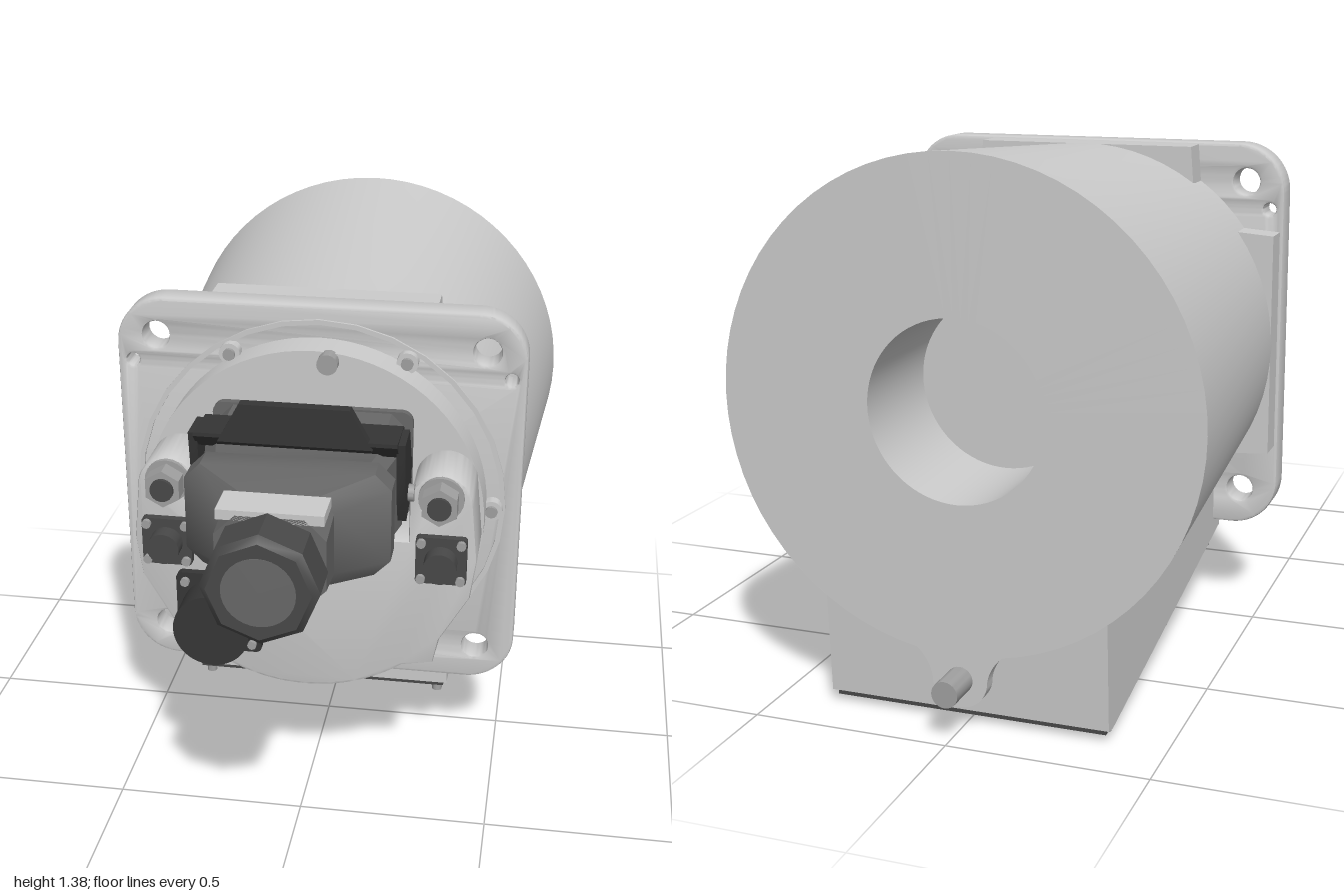
import * as THREE from 'three';
import { toCreasedNormals } from 'three/addons/utils/BufferGeometryUtils.js';

const CY = 0.77; // height of the main axis
const mat = (color) => new THREE.MeshStandardMaterial({ color });
const grey = mat(0xcccccc), steel = mat(0xa0a0a0), mid = mat(0x686868), dark = mat(0x484848), black = mat(0x363636);

export function createModel() {
  const model = new THREE.Group();

  const add = (name, geo, material = grey) => {
    const mesh = new THREE.Mesh(toCreasedNormals(geo, 0.6), material);
    mesh.name = name;
    model.add(mesh);
    return mesh;
  };
  // Cylinder or prism along z
  const rod = (name, x, y, z0, z1, r, material, sides = 24, r1 = r) =>
    add(name, new THREE.CylinderGeometry(r1, r, z1 - z0, sides).rotateX(Math.PI / 2).translate(x, y, (z0 + z1) / 2), material);
  const box = (name, x, y, z, w, h, d, material) =>
    add(name, new THREE.BoxGeometry(w, h, d).translate(x, y, z), material);
  // Flat shape extruded from z0 to z1
  const slab = (name, shape, z0, z1, material, bevel = 0) =>
    add(name, new THREE.ExtrudeGeometry(shape, {
      depth: z1 - z0 - 2 * bevel, curveSegments: 16, bevelEnabled: bevel > 0,
      bevelSize: bevel, bevelOffset: -bevel, bevelThickness: bevel, bevelSegments: 2,
    }).translate(0, 0, z0 + bevel), material);
  // Profile of [z, y] points extruded along x around a centre
  const side = (name, pts, x, width, material) =>
    add(name, new THREE.ExtrudeGeometry(new THREE.Shape(pts.map((p) => new THREE.Vector2(...p))), { depth: width, bevelEnabled: false })
      .translate(0, 0, -width / 2).rotateY(-Math.PI / 2).translate(x, 0, 0), material);
  const roundRect = (cx, cy, hw, hh, r) => {
    const s = new THREE.Shape();
    s.absarc(cx + hw - r, cy + hh - r, r, 0, Math.PI / 2);
    s.absarc(cx - hw + r, cy + hh - r, r, Math.PI / 2, Math.PI);
    s.absarc(cx - hw + r, cy - hh + r, r, Math.PI, Math.PI * 1.5);
    s.absarc(cx + hw - r, cy - hh + r, r, Math.PI * 1.5, Math.PI * 2);
    return s;
  };
  const hole = (shape, x, y, r) => shape.holes.push(new THREE.Path().absarc(x, y, r, 0, Math.PI * 2, true));
  // Loft through chamfered rectangles: [z, halfWidth, bottom, top, chamfer]
  const loft = (name, sections, material) => {
    const rings = sections.map(([z, w, b, t, c]) => [
      [-w + c, b], [w - c, b], [w, b + c], [w, t - c], [w - c, t], [-w + c, t], [-w, t - c], [-w, b + c],
    ].map(([x, y]) => [x, y, z]));
    const v = [], last = rings[rings.length - 1];
    for (let s = 0; s < rings.length - 1; s++) for (let i = 0; i < 8; i++) {
      const j = (i + 1) % 8, [p, q] = [rings[s], rings[s + 1]];
      v.push(...p[i], ...p[j], ...q[j], ...p[i], ...q[j], ...q[i]);
    }
    for (let i = 1; i < 7; i++) v.push(...last[0], ...last[i], ...last[i + 1], ...rings[0][0], ...rings[0][i + 1], ...rings[0][i]);
    const geo = new THREE.BufferGeometry();
    geo.setAttribute('position', new THREE.Float32BufferAttribute(v, 3));
    geo.computeVertexNormals();
    return add(name, geo, material);
  };

  // Tapered main housing with a bore in its back
  const profile = [[0, -0.6], [0.22, -0.6], [0.22, -0.91], [0.595, -0.91], [0.53, 0.02], [0.53, 0.1], [0, 0.1]];
  add('mainHousing', new THREE.LatheGeometry(profile.map((p) => new THREE.Vector2(...p)), 72)
    .rotateX(Math.PI / 2).translate(0, CY, 0));

  // Square mounting flange, with stiffening behind it that leaves the corners free
  const flange = roundRect(0, CY, 0.54, 0.535, 0.13);
  for (const sx of [-1, 1]) {
    for (const sy of [-1, 1]) hole(flange, sx * 0.435, CY + sy * 0.433, 0.036);
    hole(flange, sx * 0.5, 1.13, 0.017);
  }
  slab('mountingFlange', flange, 0.08, 0.16, grey, 0.008);
  const cross = new THREE.Shape();
  const quarter = [[0.53, 0.3], [0.4, 0.31], [0.31, 0.4], [0.3, 0.53]];
  for (let k = 0; k < 4; k++) for (const [x, y] of quarter) {
    const [px, py] = [[x, y], [-y, x], [-x, -y], [y, -x]][k];
    cross[k || x !== 0.53 ? 'lineTo' : 'moveTo'](px, CY + py);
  }
  slab('flangeBacking', cross, 0, 0.085);

  // Wedge shaped terminal box under the housing and its slanted lid
  side('terminalBox', [[0.15, 0.2], [0.15, 0.42], [-0.89, 0.42], [-0.87, 0.02], [-0.84, 0.015]], 0, 0.72);
  side('terminalLid', [[0.14, 0.185], [0.14, 0.205], [-0.86, 0.025], [-0.86, 0.005]], 0, 0.7, dark);
  for (const sx of [-1, 1]) for (const z of [0.1, -0.33, -0.8])
    add('lidScrew', new THREE.CylinderGeometry(0.014, 0.014, 0.03, 12).translate(sx * 0.33, 0.172 + (z - 0.14) * 0.18, z), steel);

  // Rear lug blending into the round back, with its pin
  const lug = new THREE.Shape();
  lug.moveTo(0.2, 0.24);
  lug.quadraticCurveTo(0.08, 0.19, 0.07, 0.115);
  lug.absarc(0, 0.115, 0.07, 0, Math.PI, true);
  lug.quadraticCurveTo(-0.08, 0.19, -0.2, 0.24);
  slab('rearLug', lug, -0.909, -0.82);
  rod('rearPin', 0, 0.115, -1, -0.9, 0.033, steel);
  rod('pinCollar', 0, 0.115, -0.94, -0.9, 0.025, steel);

  // Round front cover, its raised rim and screws
  const rim = new THREE.Shape().absarc(0, CY, 0.5, 0, Math.PI * 2);
  hole(rim, 0, CY, 0.487);
  slab('coverRim', rim, 0.15, 0.167);
  rod('frontCover', 0, CY, 0.15, 0.26, 0.45, grey, 72);
  for (let i = 0; i < 6; i++) {
    const a = i * Math.PI / 3;
    const [x, y] = [0.465 * Math.cos(a), CY + 0.465 * Math.sin(a)];
    rod('coverScrewSeat', x, y, 0.15, 0.19, 0.028);
    rod('coverScrew', x, y, 0.19, 0.2, 0.016, steel, 12);
  }
  rod('groundScrew', 0.04, 1.195, 0.25, 0.29, 0.027, steel);

  // Front housing with two upper lobes and a recess between them
  const f = new THREE.Shape();
  f.moveTo(0.27, 0.78);
  f.lineTo(0.27, 0.89);
  f.absarc(0.35, 0.89, 0.08, Math.PI, 0, true);
  for (const p of [[0.445, 0.74], [0.43, 0.63], [0.355, 0.5], [0.34, 0.43]]) f.lineTo(...p);
  f.absarc(0, CY, 0.44, -0.94, -Math.PI + 0.94, true);
  for (const p of [[-0.34, 0.43], [-0.355, 0.5], [-0.43, 0.63], [-0.445, 0.74]]) f.lineTo(...p);
  f.lineTo(-0.43, 0.89);
  f.absarc(-0.35, 0.89, 0.08, Math.PI, 0, true);
  f.lineTo(-0.27, 0.78);
  slab('frontHousing', f, 0.25, 0.42, grey, 0.008);

  // Hex glands and small square sockets on both sides
  const socket = (name, x, y, half, z1, r, material) => {
    slab(name + 'Plate', roundRect(x, y, half, half, half * 0.15), 0.41, 0.44, material);
    rod(name + 'Body', x, y, 0.43, z1, r, material, 32);
    for (const sx of [-1, 1]) for (const sy of [-1, 1])
      rod(name + 'Screw', x + sx * half * 0.78, y + sy * half * 0.78, 0.43, 0.452, 0.012, steel, 12);
  };
  for (const sx of [-1, 1]) {
    rod('glandCollar', sx * 0.35, 0.91, 0.41, 0.43, 0.058, steel);
    rod('glandNut', sx * 0.35, 0.91, 0.42, 0.48, 0.05, steel, 6);
    rod('glandTip', sx * 0.35, 0.91, 0.48, 0.49, 0.03, dark);
    socket('smallSocket', sx * 0.355, 0.742, 0.065, 0.485, 0.042, dark);
  }
  socket('largeSocket', -0.223, 0.543, 0.112, 0.54, 0.1, black);

  // Rectangular plug: base, tapering hood, cable neck and nut
  slab('plugBaseFlange', roundRect(0, 0.93, 0.26, 0.145, 0.03), 0.25, 0.28, mid);
  loft('plugBase', [[0.27, 0.235, 0.8, 1.07, 0.03], [0.41, 0.235, 0.8, 1.07, 0.03]], mid);
  loft('plugHood', [[0.4, 0.25, 0.79, 1.06, 0.03], [0.56, 0.22, 0.795, 1.06, 0.03], [0.57, 0.25, 0.8, 1.065, 0.04],
    [0.64, 0.25, 0.8, 1.065, 0.04], [0.75, 0.13, 0.815, 1.05, 0.04], [0.86, 0.13, 0.82, 1.045, 0.05]], mid);
  box('hoodLabel', 0, 1.045, 0.81, 0.25, 0.025, 0.1, grey);
  rod('cableNeck', 0, 0.93, 0.85, 0.89, 0.11, dark);
  rod('cableNut', 0, 0.93, 0.88, 0.985, 0.137, dark, 8);
  rod('cableNutRim', 0, 0.93, 0.985, 1, 0.137, dark, 8, 0.12);
  rod('cableSeal', 0, 0.93, 0.99, 1.001, 0.085, mid, 32);

  // Locking lever across the plug
  const leverTop = new THREE.Shape([[-0.19, 1.08], [0.19, 1.08], [0.135, 1.18], [-0.135, 1.18]].map((p) => new THREE.Vector2(...p)));
  slab('leverHandle', leverTop, 0.51, 0.54, black);
  side('leverBridge', [[0.36, 1.05], [0.5, 1.05], [0.54, 1.09], [0.54, 1.1], [0.4, 1.09]], 0, 0.5, black);
  for (const sx of [-1, 1]) {
    side('leverRib', [[0.38, 1.06], [0.53, 1.09], [0.53, 1.17]], sx * 0.125, 0.015, black);
    side('leverArm', [[0.35, 0.97], [0.38, 0.88], [0.46, 0.86], [0.5, 0.95], [0.52, 1.09], [0.42, 1.09]], sx * 0.256, 0.022, black);
    add('leverPivot', new THREE.CylinderGeometry(0.022, 0.022, 0.04, 16).rotateZ(Math.PI / 2).translate(sx * 0.262, 0.92, 0.42), steel);
  }
  return model;
}
